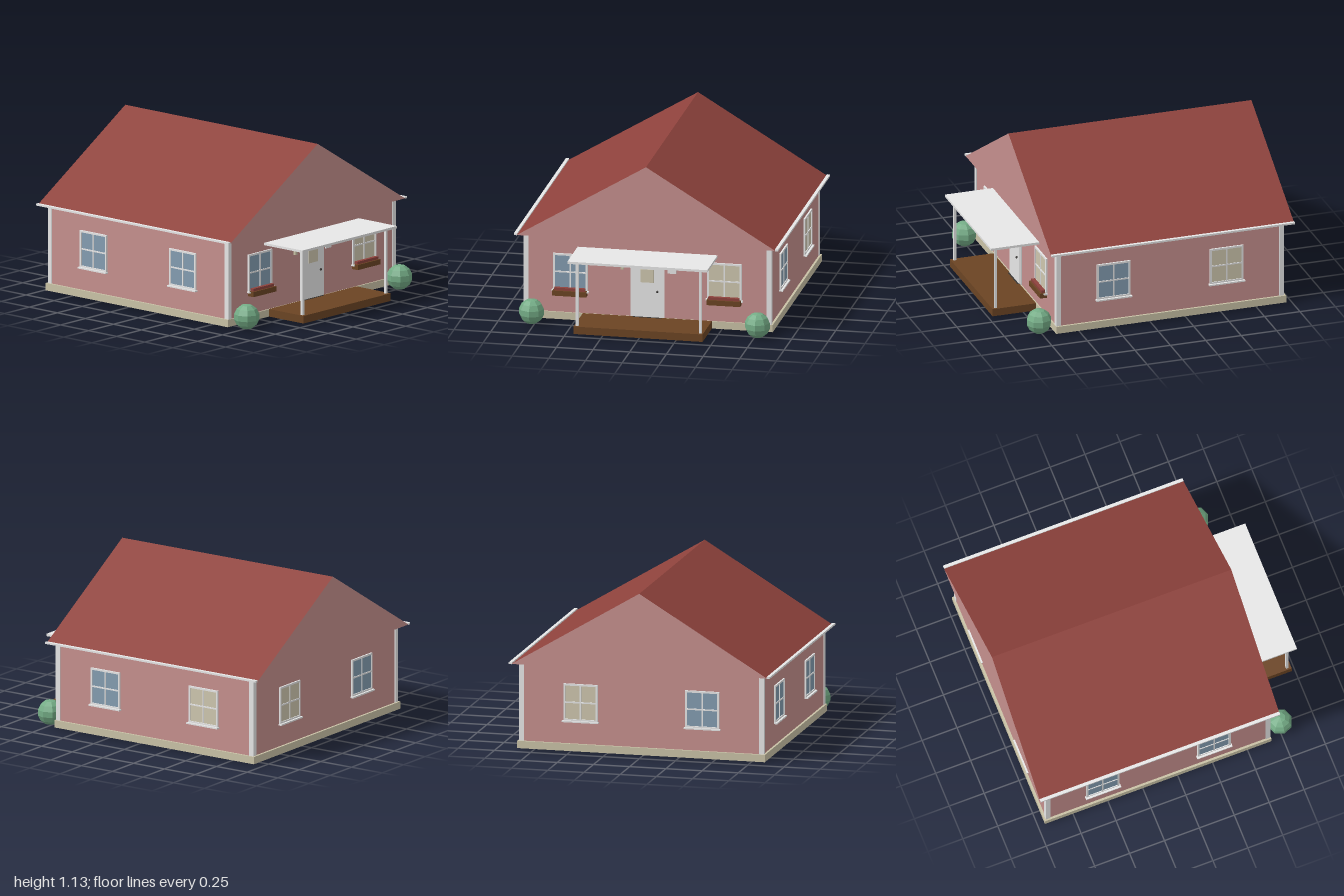
import * as THREE from 'three';

const mat = (name, color) => {
  const m = new THREE.MeshStandardMaterial({ color });
  m.name = name;
  return m;
};

export function createModel() {
  const house = new THREE.Group();
  house.name = 'house';

  const pink = mat('pinkWall', 0xc58f8d);
  const white = mat('whiteTrim', 0xebebeb);
  const red = mat('redRoof', 0x8e423c);
  const stone = mat('creamStone', 0xc9c2a6);
  const blue = mat('blueGlass', 0x839cb0);
  const cream = mat('litGlass', 0xcec6ae);
  const wood = mat('brownWood', 0x6b4423);
  const green = mat('shrubGreen', 0x74ac86);
  green.flatShading = true;
  const dark = mat('darkMetal', 0x3a3836);

  // Box given by its limits on each axis
  const box = (name, material, x0, x1, y0, y1, z0, z1, parent = house) => {
    const m = new THREE.Mesh(new THREE.BoxGeometry(x1 - x0, y1 - y0, z1 - z0), material);
    m.position.set((x0 + x1) / 2, (y0 + y1) / 2, (z0 + z1) / 2);
    m.name = name;
    parent.add(m);
    return m;
  };

  // Main body
  box('foundation', stone, -0.855, 0.855, 0.016, 0.066, -0.953, 0.67);
  box('walls', pink, -0.84, 0.84, 0.066, 0.605, -0.937, 0.66);
  for (const x of [-0.828, 0.828])
    for (const z of [-0.925, 0.649])
      box('cornerBoard', white, x - 0.017, x + 0.017, 0.066, 0.599, z - 0.017, z + 0.017);

  // Gabled roof: pink gable ends, red slopes and soffit
  const gable = new THREE.Shape([
    new THREE.Vector2(-0.882, 0.6), new THREE.Vector2(0.882, 0.6), new THREE.Vector2(0, 1.13)
  ]);
  const roof = new THREE.Mesh(
    new THREE.ExtrudeGeometry(gable, { depth: 1.715, bevelEnabled: false }), [pink, red]);
  roof.position.z = -1;
  roof.name = 'roof';
  house.add(roof);
  for (const s of [-1, 1]) {
    const x = s * 0.89;
    box('gutter', white, x - 0.011, x + 0.011, 0.598, 0.611, -1, 0.715);
  }

  // Window facing +z, origin at its centre on the wall
  const addWindow = (glass, x, z, turn) => {
    const g = new THREE.Group();
    g.name = 'window';
    const w = 0.118, h = 0.127, t = 0.013;
    box('pane', glass, -w + t, w - t, -h + t, h - t, 0, 0.005, g);
    for (const s of [-1, 1]) {
      const a = s * (w - t / 2), b = s * (h - t / 2);
      box('frameSide', white, a - t / 2, a + t / 2, -h, h, 0, 0.011, g);
      box('frameRail', white, -w + t, w - t, b - t / 2, b + t / 2, 0, 0.011, g);
    }
    box('mullion', white, -0.005, 0.005, -h + t, h - t, 0, 0.009, g);
    box('crossBar', white, -w + t, w - t, -0.005, 0.005, 0, 0.009, g);
    box('sill', white, -0.126, 0.126, -h - 0.008, -h + 0.002, 0, 0.025, g);
    g.position.set(x, 0.348, z);
    g.rotation.y = turn;
    house.add(g);
  };
  addWindow(blue, -0.525, 0.66, 0);
  addWindow(cream, 0.525, 0.66, 0);
  addWindow(blue, 0.84, 0.262, Math.PI / 2);
  addWindow(cream, 0.84, -0.535, Math.PI / 2);
  addWindow(blue, -0.84, 0.262, -Math.PI / 2);
  addWindow(blue, -0.84, -0.535, -Math.PI / 2);
  addWindow(cream, 0.42, -0.937, Math.PI);
  addWindow(blue, -0.42, -0.937, Math.PI);

  // Window boxes with a low row of blooms
  for (const x of [-0.525, 0.525]) {
    box('windowBox', wood, x - 0.115, x + 0.115, 0.19, 0.225, 0.66, 0.71);
    box('blooms', red, x - 0.105, x + 0.105, 0.225, 0.243, 0.672, 0.698);
  }

  // Door and its fittings
  box('doorFrame', white, -0.116, 0.116, 0.066, 0.472, 0.655, 0.669);
  box('doorPanel', white, -0.097, 0.097, 0.07, 0.452, 0.665, 0.675);
  box('doorHeadGap', dark, -0.097, 0.097, 0.452, 0.457, 0.665, 0.671);
  box('doorPane', cream, -0.045, 0.045, 0.312, 0.402, 0.67, 0.679);
  const knob = new THREE.Mesh(new THREE.SphereGeometry(0.008, 8, 6), dark);
  knob.position.set(0.07, 0.252, 0.681);
  knob.name = 'doorKnob';
  house.add(knob);
  box('doorMat', dark, -0.097, 0.097, 0.066, 0.07, 0.67, 0.685);
  box('wallLamp', stone, -0.181, -0.16, 0.392, 0.43, 0.66, 0.678);
  box('wallPlate', white, 0.138, 0.196, 0.38, 0.417, 0.66, 0.667);

  // Porch
  box('porchDeck', wood, -0.44, 0.44, 0.016, 0.068, 0.67, 0.977);
  box('porchCanopy', white, -0.477, 0.477, 0.511, 0.527, 0.66, 1);
  for (const x of [-0.42, 0.42])
    box('porchPost', white, x - 0.009, x + 0.009, 0.068, 0.511, 0.941, 0.959);

  // Round clipped shrubs
  for (const x of [-0.77, 0.77]) {
    const shrub = new THREE.Mesh(new THREE.SphereGeometry(0.087, 8, 7), green);
    shrub.position.set(x, 0.089, 0.763);
    shrub.name = 'shrub';
    house.add(shrub);
  }

  return house;
}
